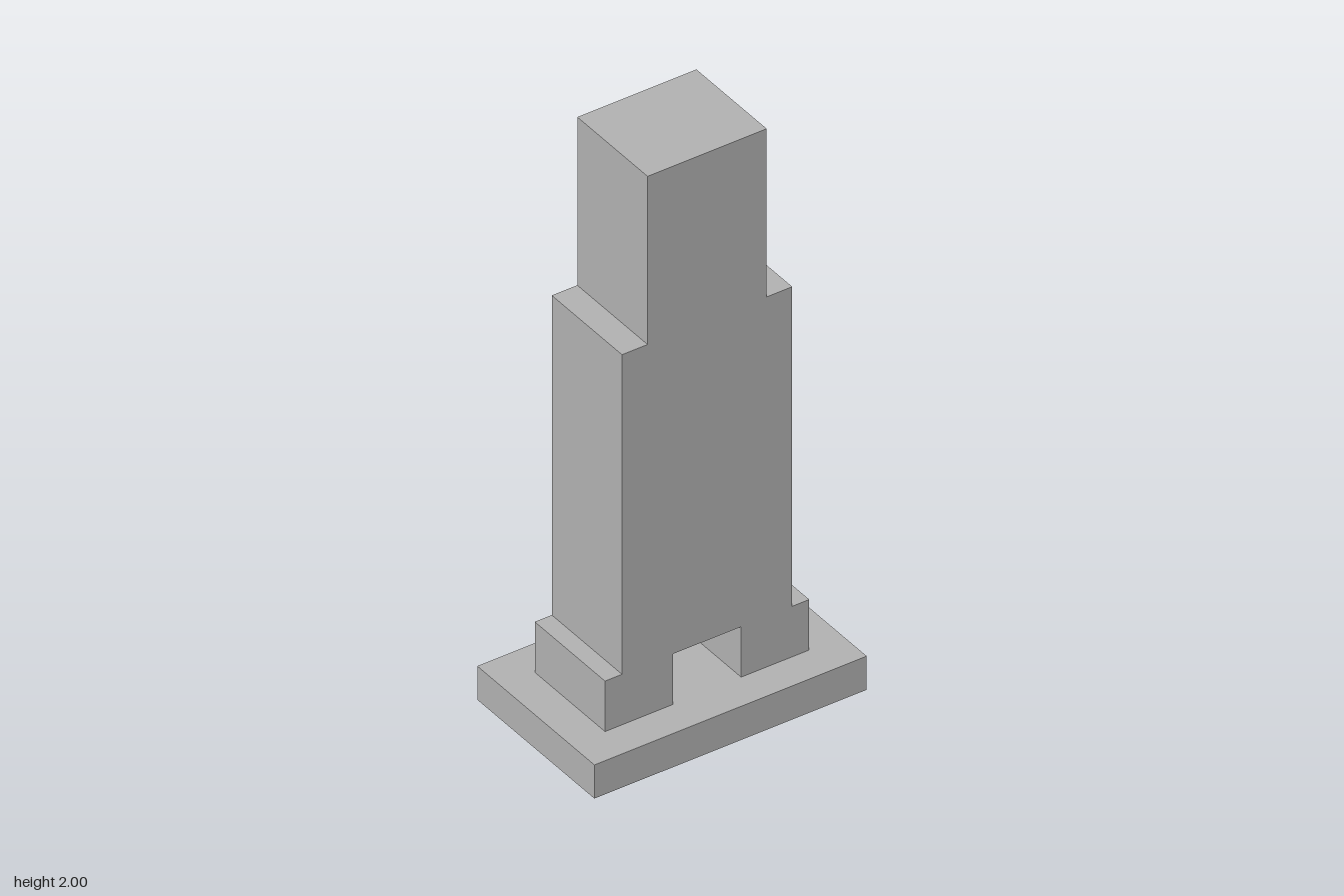
import * as THREE from 'three';

// One grid unit: the whole model is 34 units tall
const U = 2 / 34;

export function createModel() {
  const model = new THREE.Group();
  model.name = 'tower';
  const stone = new THREE.MeshStandardMaterial({ color: 0xb2b2b2 });
  stone.name = 'grey stone';

  // Base slab
  const plinth = new THREE.Mesh(new THREE.BoxGeometry(16 * U, 2 * U, 10 * U), stone);
  plinth.name = 'plinth';
  plinth.position.y = U;
  model.add(plinth);

  // Stepped tower with a passage between its feet: right half, mirrored
  const half = [[2, 5], [2, 2], [6, 2], [6, 5], [5, 5], [5, 24], [3.5, 24], [3.5, 34]];
  const outline = [...half, ...half.map(([x, y]) => [-x, y]).reverse()];
  const shape = new THREE.Shape(outline.map(([x, y]) => new THREE.Vector2(x * U, y * U)));
  const depth = 6 * U;
  const geometry = new THREE.ExtrudeGeometry(shape, { depth, bevelEnabled: false });
  geometry.translate(0, 0, -depth / 2);
  const tower = new THREE.Mesh(geometry, stone);
  tower.name = 'steppedTower';
  model.add(tower);

  return model;
}
